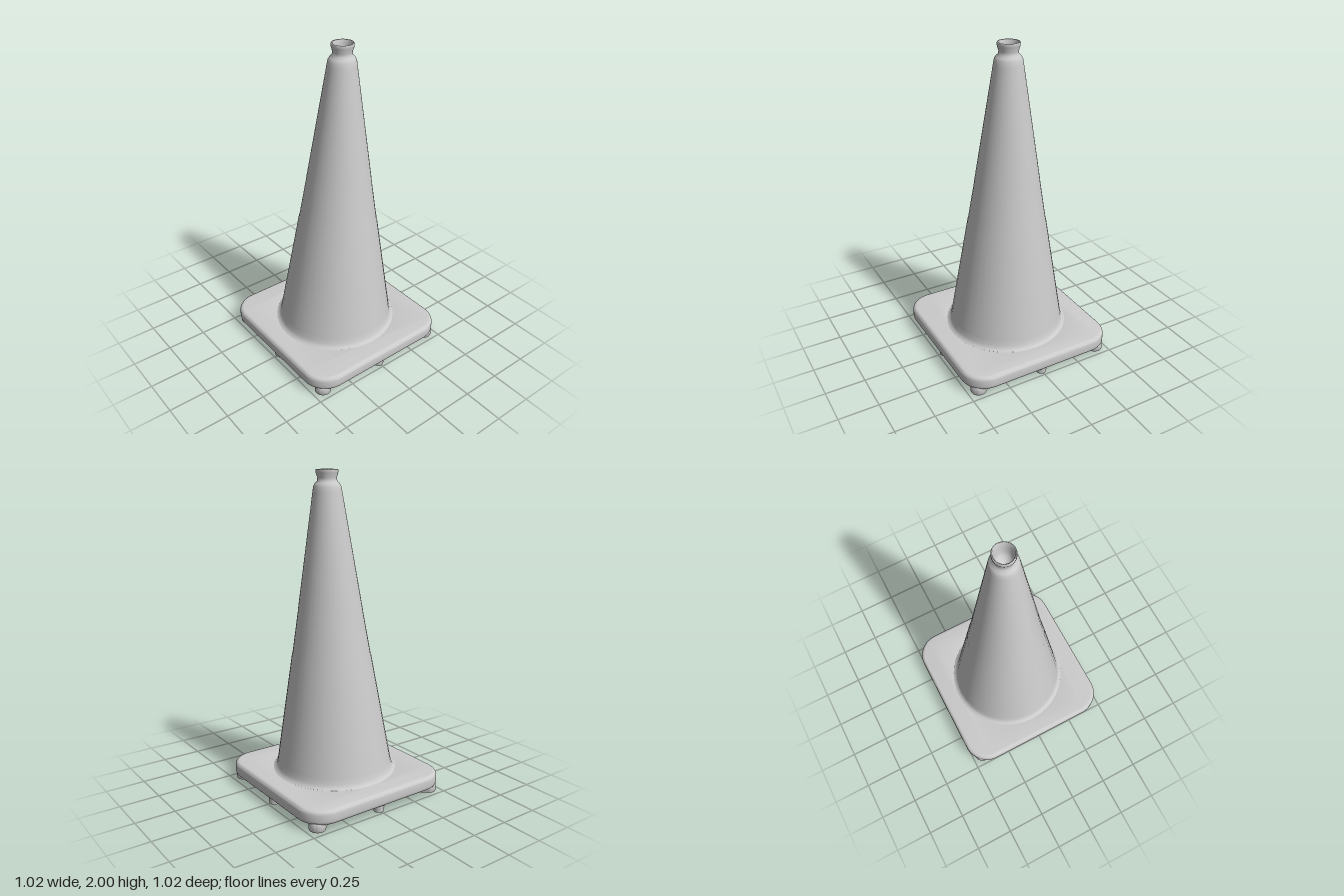
import * as THREE from 'three';
import { toCreasedNormals } from 'three/addons/utils/BufferGeometryUtils.js';

const material = new THREE.MeshStandardMaterial({ color: 0xcccccc, side: THREE.DoubleSide });

function addMesh(parent, name, geometry) {
  const mesh = new THREE.Mesh(geometry, material);
  mesh.name = name;
  parent.add(mesh);
  return mesh;
}

// Rounded rectangle outline centred on the origin
function roundedRect(w, d, r) {
  const x = w / 2 - r, y = d / 2 - r, q = Math.PI / 2;
  return new THREE.Shape()
    .absarc(x, y, r, 0, q)
    .absarc(-x, y, r, q, 2 * q)
    .absarc(-x, -y, r, 2 * q, 3 * q)
    .absarc(x, -y, r, 3 * q, 4 * q);
}

// Extrude upwards from y0 to y1 with rounded edges that stay inside the outline
function slab(shape, y0, y1, bevel, segments) {
  const geometry = new THREE.ExtrudeGeometry(shape, {
    depth: y1 - y0 - 2 * bevel, bevelThickness: bevel, bevelSize: bevel,
    bevelOffset: -bevel, bevelSegments: segments, curveSegments: 10,
  });
  geometry.translate(0, 0, bevel).rotateX(-Math.PI / 2).translate(0, y0, 0);
  return toCreasedNormals(geometry, 0.7);
}

function circleHole(r) {
  return new THREE.Path().absarc(0, 0, r, 0, Math.PI * 2, true);
}

export function createModel() {
  const model = new THREE.Group();
  model.name = 'trafficCone';

  // Square base plate, open under the cone
  const plate = roundedRect(1.02, 1.02, 0.16);
  plate.holes.push(circleHole(0.36));
  addMesh(model, 'base', slab(plate, 0.045, 0.136, 0.025, 4));

  // Hollow body: outer wall with faint sleeve, neck, rim, cup inside the neck
  const outer = [
    [0.4, 0.134], [0.378, 0.14], [0.367, 0.165], [0.36, 0.2],
    [0.246, 0.88], [0.243, 0.885], [0.2, 1.15], [0.2, 1.155],
    [0.088, 1.87], [0.083, 1.9], [0.074, 1.918], [0.06, 1.93], [0.057, 1.95],
    [0.066, 1.978], [0.067, 1.995], [0.064, 2], [0.058, 1.998],
    [0.052, 1.96], [0.05, 1.92], [0.042, 1.89], [0.022, 1.872], [0, 1.867],
  ];
  const inner = [[0, 1.85], [0.065, 1.85], [0.34, 0.18], [0.352, 0.13], [0.364, 0.07]];
  const lathe = (points) =>
    new THREE.LatheGeometry(points.map(([r, y]) => new THREE.Vector2(r, y)), 40);
  // The body leans slightly off its axis
  const lean = new THREE.Matrix4().set(
    1, 0.026, 0, -0.0036,
    0, 1, 0, 0,
    0, 0.004, 1, -0.0005,
    0, 0, 0, 1,
  );
  addMesh(model, 'coneBody', lathe(outer).applyMatrix4(lean));
  addMesh(model, 'coneInterior', lathe(inner).applyMatrix4(lean));

  // Lip around the opening underneath
  const lip = addMesh(model, 'undersideLip', new THREE.TorusGeometry(0.395, 0.014, 8, 40));
  lip.rotation.x = Math.PI / 2;
  lip.position.y = 0.047;

  // Slotted feet in the corners and round pegs at the middle of each side
  const foot = roundedRect(0.22, 0.1, 0.049);
  foot.holes.push(roundedRect(0.15, 0.034, 0.0165));
  const footGeometry = slab(foot, 0, 0.06, 0.008, 2);
  const pegGeometry = new THREE.CylinderGeometry(0.037, 0.032, 0.06, 16);
  for (let i = 0; i < 4; i++) {
    const angle = (i * Math.PI) / 2;
    const corner = addMesh(model, 'cornerFoot', footGeometry);
    const diagonal = angle + Math.PI / 4;
    corner.position.set(Math.cos(diagonal) * 0.545, 0, Math.sin(diagonal) * 0.545);
    corner.rotation.y = -diagonal;
    const peg = addMesh(model, 'sidePeg', pegGeometry);
    peg.position.set(Math.cos(angle) * 0.455, 0.03, Math.sin(angle) * 0.455);
  }
  return model;
}
